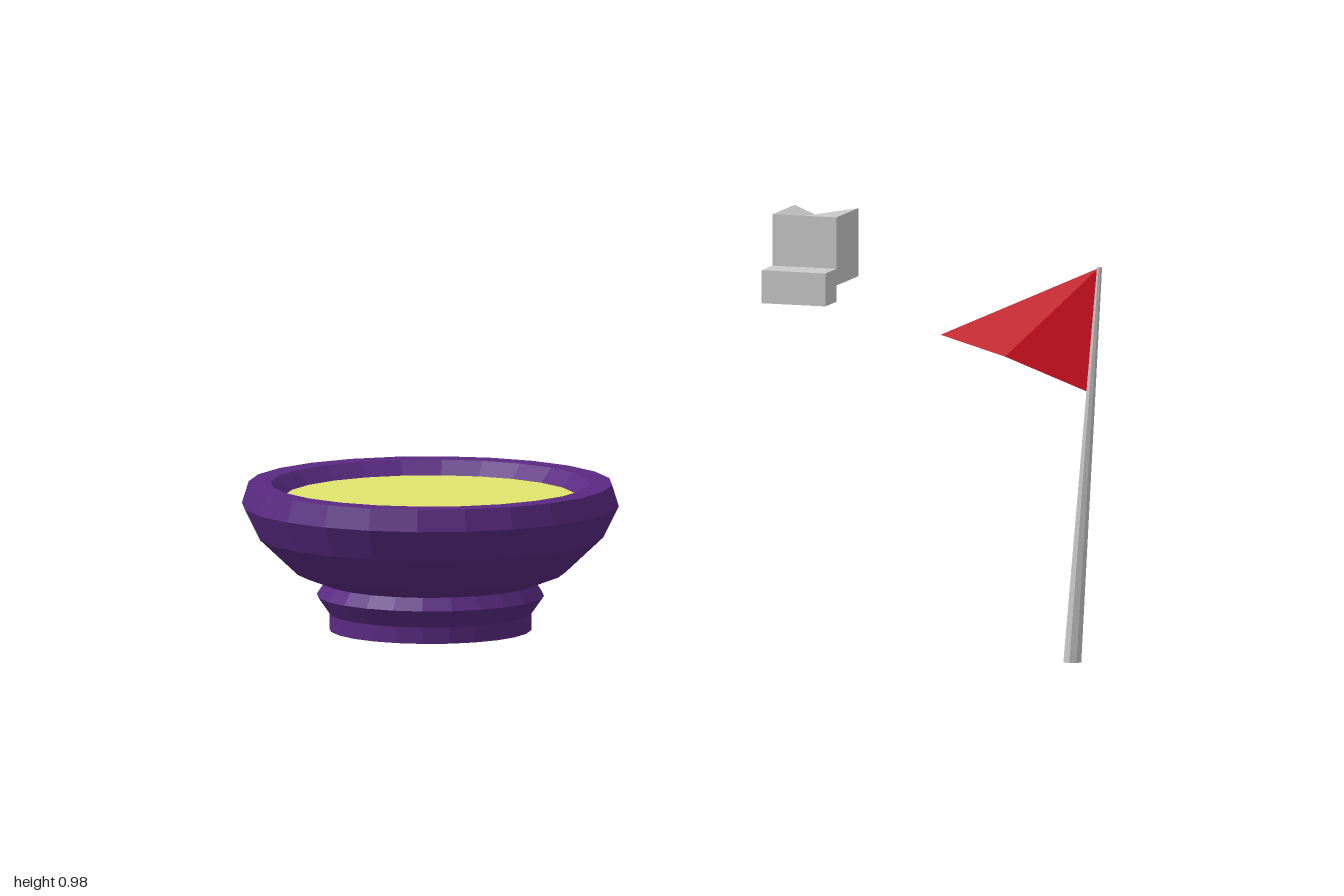
import * as THREE from 'three';

const mat = (color, side = THREE.FrontSide) =>
  new THREE.MeshStandardMaterial({ color, flatShading: true, side });

function addMesh(parent, name, geometry, material, x = 0, y = 0, z = 0) {
  const mesh = new THREE.Mesh(geometry, material);
  mesh.name = name;
  mesh.position.set(x, y, z);
  parent.add(mesh);
  return mesh;
}

export function createModel() {
  const model = new THREE.Group();
  const purple = mat(0x5a2a82);
  const yellow = mat(0xe0e56c);
  const red = mat(0xdc1022, THREE.DoubleSide);
  const grey = mat(0xcccccc);

  // Footed bowl, turned from one profile
  const bowl = new THREE.Group();
  bowl.name = 'bowl';
  bowl.position.x = -0.58;
  model.add(bowl);
  const profile = [
    [0, 0], [0.225, 0], [0.225, 0.037], [0.253, 0.077], [0.235, 0.105],
    [0.3, 0.13], [0.385, 0.21], [0.42, 0.28], [0.405, 0.328],
    [0.355, 0.328], [0.326, 0.297],
  ].map(([r, y]) => new THREE.Vector2(r, y));
  addMesh(bowl, 'bowlShell', new THREE.LatheGeometry(profile, 24), purple);

  // Flat filling inside the rim
  const disc = new THREE.CircleGeometry(0.326, 24).rotateX(-Math.PI / 2);
  addMesh(bowl, 'bowlFilling', disc, yellow, 0, 0.297, 0);

  // Leaning, tapered flagpole: upright cylinder sheared along x
  const flag = new THREE.Group();
  flag.name = 'flag';
  model.add(flag);
  const height = 0.89;
  const pole = new THREE.CylinderGeometry(0.006, 0.021, height, 8);
  pole.translate(0, height / 2, 0);
  const p = pole.attributes.position;
  for (let i = 0; i < p.count; i++) p.setX(i, p.getX(i) + 0.93 + 0.064 * p.getY(i) / height);
  pole.computeVertexNormals();
  addMesh(flag, 'flagPole', pole, grey);

  // Pennant with one fold from the pole top to its lower edge
  const pennant = new THREE.BufferGeometry();
  pennant.setAttribute('position', new THREE.Float32BufferAttribute([
    0.992, 0.888, 0, 0.62, 0.72, 0, 0.78, 0.682, 0.024, 0.968, 0.608, 0,
  ], 3));
  pennant.setIndex([0, 1, 2, 0, 2, 3]);
  pennant.computeVertexNormals();
  addMesh(flag, 'pennant', pennant, red);

  // Floating block whose back edges are notched at the middle
  const floating = new THREE.Group();
  floating.name = 'floatingBlock';
  floating.position.x = 0.326;
  model.add(floating);
  const block = new THREE.BoxGeometry(0.15, 0.153, 0.15, 2, 1, 1);
  const b = block.attributes.position;
  for (let i = 0; i < b.count; i++) {
    if (Math.abs(b.getX(i)) < 0.01 && b.getZ(i) < 0) b.setY(i, b.getY(i) * 0.6);
  }
  block.computeVertexNormals();
  addMesh(floating, 'blockBody', block, grey, 0, 0.907, 0);

  // Small step at the front of the block
  addMesh(floating, 'blockStep', new THREE.BoxGeometry(0.15, 0.074, 0.075), grey, 0, 0.831, 0.1125);

  return model;
}
